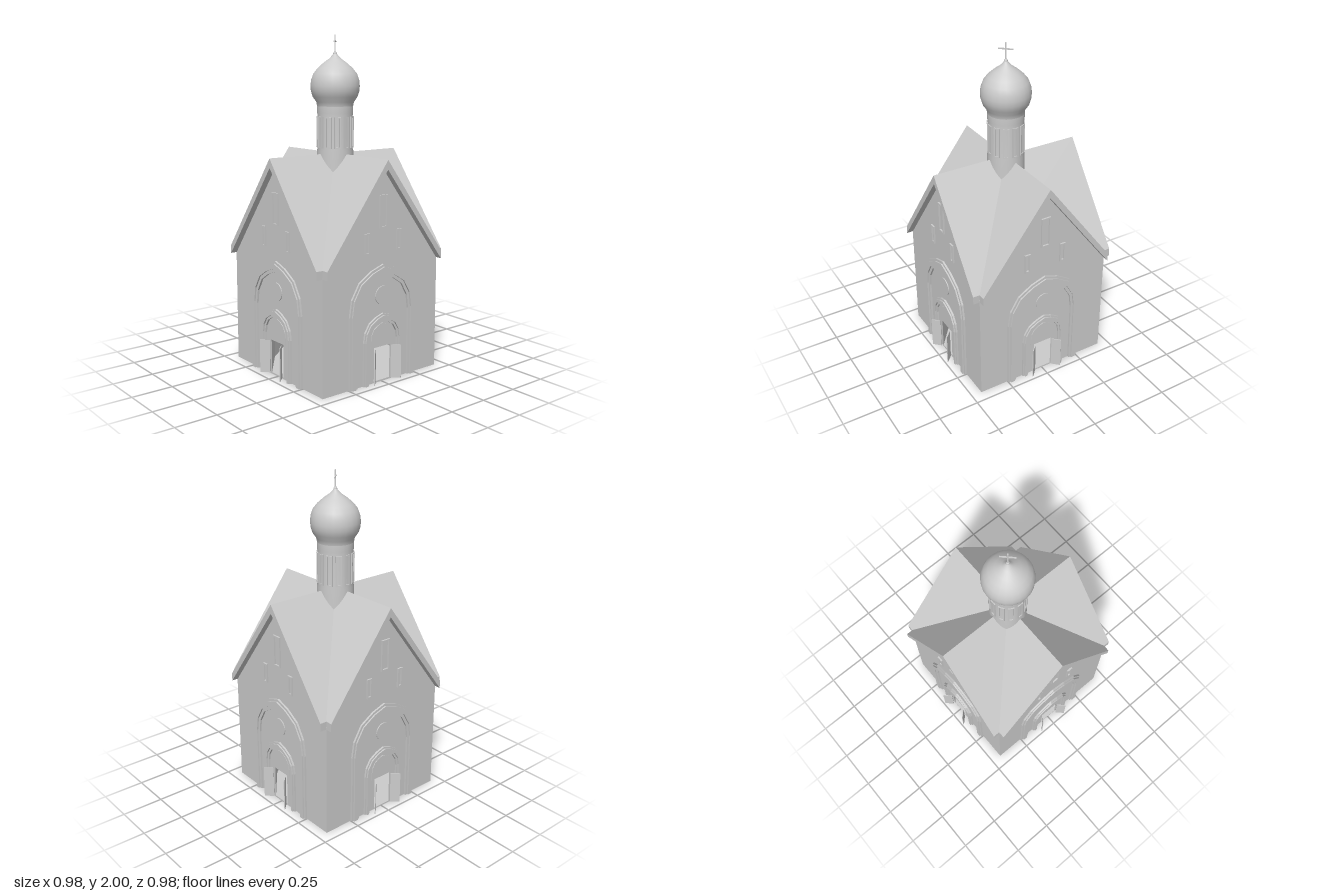
import * as THREE from 'three';

const WALL = 0.435;
const grey = new THREE.MeshStandardMaterial({ color: 0xcccccc, side: THREE.DoubleSide });
const flat = new THREE.MeshStandardMaterial({ color: 0xcccccc, flatShading: true });

function add(parent, name, geometry, material = flat) {
  const mesh = new THREE.Mesh(geometry, material);
  mesh.name = name;
  parent.add(mesh);
  return mesh;
}

const shapeOf = (pts) => new THREE.Shape(pts.map(([x, y]) => new THREE.Vector2(x, y)));

function extrude(shape, depth, z = 0) {
  return new THREE.ExtrudeGeometry(shape, { depth, bevelEnabled: false, curveSegments: 20 }).translate(0, 0, z);
}

// Right half of a faceted arch, from the ground up to the crown
function halfArch(w, spring, top) {
  const curve = [[1, 0], [0.94, 0.36], [0.72, 0.69], [0.36, 0.89], [0, 1]];
  return [[w, 0], ...curve.map(([x, y]) => [x * w, spring + y * (top - spring)])];
}

function mirrored(half) {
  return [...half, ...half.slice(0, -1).reverse().map(([x, y]) => [-x, y])];
}

// Arched band open at the ground
function archBand(outer, inner) {
  return shapeOf([...mirrored(halfArch(...outer)), ...mirrored(halfArch(...inner)).reverse()]);
}

// Rectangular frame with an open middle
function frame(w, h, border) {
  const rect = (a, b) => [[-a, -b], [a, -b], [a, b], [-a, b]];
  const s = shapeOf(rect(w / 2, h / 2));
  s.holes.push(shapeOf(rect(w / 2 - border, h / 2 - border)));
  return s;
}

function createFacade() {
  const g = new THREE.Group();
  g.name = 'facade';

  // Stepped mouldings of the large and small portals
  add(g, 'outerPortalMoulding', extrude(archBand([0.25, 0.43, 0.705], [0.195, 0.41, 0.64]), 0.012, WALL));
  add(g, 'outerPortalRib', extrude(archBand([0.237, 0.43, 0.69], [0.21, 0.42, 0.66]), 0.021, WALL));
  add(g, 'innerPortalMoulding', extrude(archBand([0.145, 0.26, 0.415], [0.108, 0.25, 0.37]), 0.012, WALL));
  add(g, 'innerPortalRib', extrude(archBand([0.136, 0.26, 0.404], [0.119, 0.255, 0.385]), 0.021, WALL));

  // Arched panel above the doors and round medallion
  const panel = mirrored(halfArch(0.085, 0.26, 0.355)).map(([x, y]) => [x, Math.max(y, 0.215)]);
  add(g, 'archPanel', extrude(shapeOf(panel), 0.004, WALL));
  const disc = new THREE.CylinderGeometry(0.055, 0.055, 0.006, 24).rotateX(Math.PI / 2);
  add(g, 'medallion', disc).position.set(0, 0.52, WALL + 0.003);

  // Slit windows
  for (const [x, y, w, h] of [[0, 1.01, 0.06, 0.19], [-0.12, 0.835, 0.036, 0.12], [0.12, 0.835, 0.036, 0.12]]) {
    add(g, 'windowFrame', extrude(frame(w, h, 0.009), 0.01, WALL)).position.set(x, y, 0);
  }

  // Open double doors
  for (const side of [-1, 1]) {
    const hinge = new THREE.Group();
    hinge.name = 'door';
    hinge.position.set(side * 0.06, 0.1125, WALL + 0.013);
    hinge.rotation.y = -side * Math.PI / 4;
    add(hinge, 'doorLeaf', new THREE.BoxGeometry(0.06, 0.2, 0.005)).position.x = side * 0.03;
    g.add(hinge);
  }
  return g;
}

export function createModel() {
  const model = new THREE.Group();
  model.name = 'chapel';

  // Four corner piers leave a passage between the doorways
  const floorPoints = [];
  for (let i = 0; i < 4; i++) {
    const pier = extrude(shapeOf([[WALL, WALL], [0.06, WALL], [0.27, 0.27], [WALL, 0.06]]), 0.215);
    pier.rotateX(-Math.PI / 2);
    add(model, 'cornerPier', pier).rotation.y = i * Math.PI / 2;
    const c = Math.round(Math.cos(i * Math.PI / 2)), s = Math.round(Math.sin(i * Math.PI / 2));
    for (const [x, y] of [[WALL, 0.06], [0.27, 0.27], [0.06, WALL]]) {
      floorPoints.push([c * x - s * y, s * x + c * y]);
    }
  }
  add(model, 'floor', extrude(shapeOf(floorPoints), 0.01).rotateX(-Math.PI / 2));

  // Upper walls
  add(model, 'walls', new THREE.BoxGeometry(2 * WALL, 0.475, 2 * WALL)).position.y = 0.4525;

  // Crossed gables and roofs
  const gable = shapeOf([[-WALL, 0.69], [WALL, 0.69], [0, 1.28]]);
  const roof = shapeOf([[0.433, 0.68], [0.433, 0.73], [0, 1.305], [-0.433, 0.73], [-0.433, 0.68], [0, 1.25]]);
  for (const turn of [0, Math.PI / 2]) {
    add(model, 'gable', extrude(gable, 2 * WALL, -WALL)).rotation.y = turn;
    add(model, 'roof', extrude(roof, 0.95, -0.475)).rotation.y = turn;
  }

  for (let i = 0; i < 4; i++) {
    const facade = createFacade();
    facade.rotation.y = i * Math.PI / 2;
    model.add(facade);
  }

  // Drum under the dome, with a ring of slit windows
  const drum = [[0.11, 1.1], [0.11, 1.32], [0.105, 1.335], [0.105, 1.53], [0.108, 1.545], [0.108, 1.59]];
  add(model, 'drum', new THREE.LatheGeometry(drum.map(([r, y]) => new THREE.Vector2(r, y)), 24), grey);
  for (let i = 0; i < 12; i++) {
    const slit = add(model, 'drumWindowFrame', extrude(frame(0.036, 0.185, 0.007), 0.01, 0.1));
    slit.position.y = 1.432;
    slit.rotation.y = i * Math.PI / 6;
  }

  // Onion dome
  const onion = [[0.108, 1.585], [0.113, 1.61], [0.134, 1.64], [0.145, 1.675], [0.147, 1.705], [0.143, 1.74],
    [0.13, 1.775], [0.105, 1.807], [0.07, 1.838], [0.035, 1.863], [0.014, 1.885], [0.005, 1.905]];
  add(model, 'onionDome', new THREE.LatheGeometry(onion.map(([r, y]) => new THREE.Vector2(r, y)), 24), grey);

  // Finial cross, turned diagonally
  const finial = new THREE.Group();
  finial.name = 'finial';
  finial.rotation.y = Math.PI / 4;
  add(finial, 'finialBall', new THREE.SphereGeometry(0.011, 12, 8), grey).position.y = 1.893;
  add(finial, 'finialPost', new THREE.BoxGeometry(0.007, 0.11, 0.007)).position.y = 1.945;
  add(finial, 'finialBar', new THREE.BoxGeometry(0.086, 0.007, 0.007)).position.y = 1.962;
  model.add(finial);

  return model;
}
